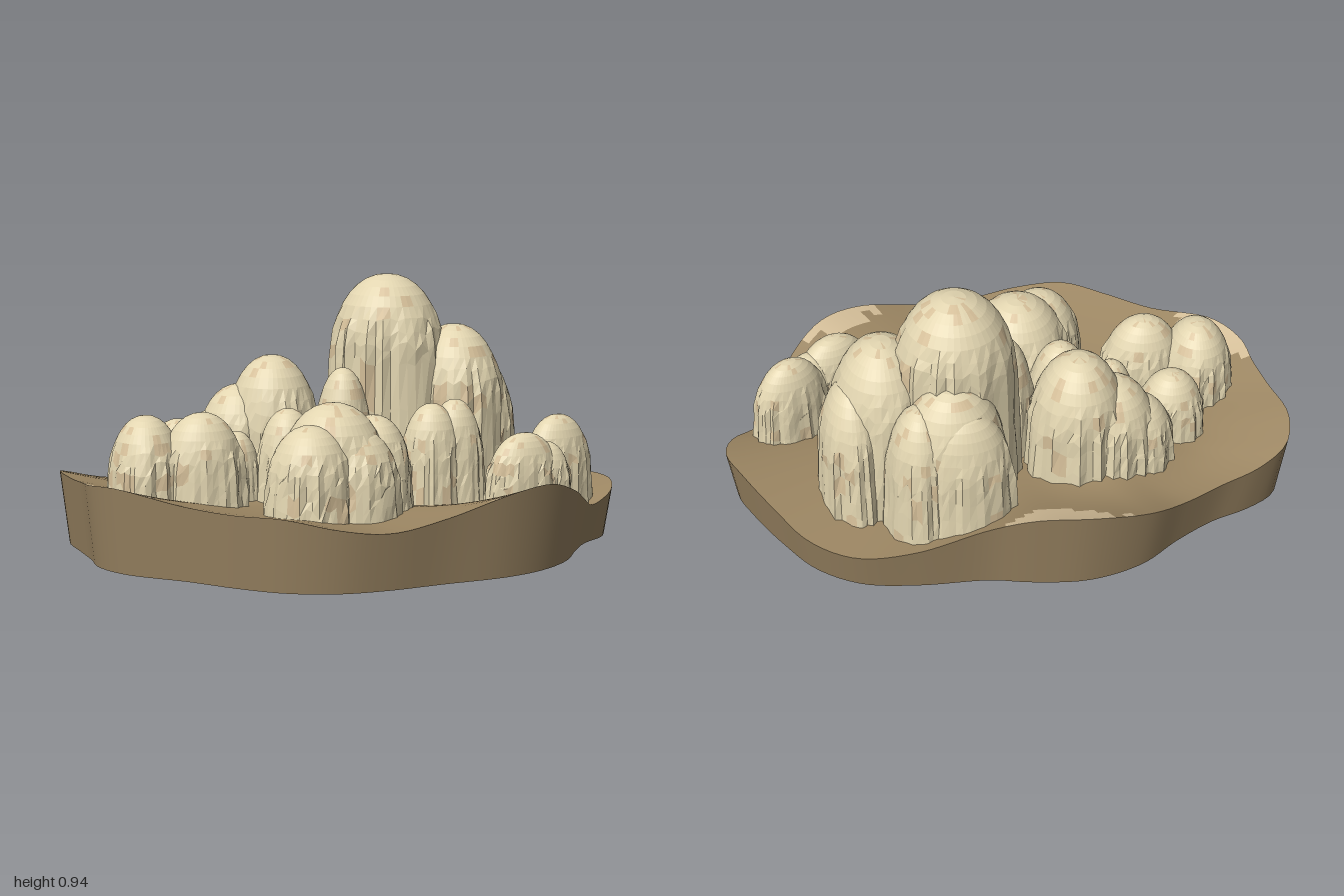
import * as THREE from 'three';

const SOIL = 0x9e8864, WALL = 0x95805f, STONE = 0xe2d5b0, TAN = 0xd6c09a;

// repeatable noise in -1..1
const hash = (a, b = 0, c = 0) => {
  const s = Math.sin(a * 127.1 + b * 311.7 + c * 74.7) * 43758.5453;
  return 2 * (s - Math.floor(s)) - 1;
};

// joins closed loops of points; keep(i, j, y) picks the quads used
function skin(loops, keep = () => true) {
  const n = loops[0].length, index = [];
  for (let i = 0; i < loops.length - 1; i++) {
    for (let j = 0; j < n; j++) {
      const k = (j + 1) % n;
      if (!keep(i, j, (loops[i][j].y + loops[i + 1][k].y) / 2)) continue;
      const a = i * n + j, b = i * n + k, c = b + n, d = a + n;
      index.push(a, b, c, a, c, d);
    }
  }
  const geo = new THREE.BufferGeometry().setFromPoints(loops.flat());
  geo.setIndex(index);
  geo.computeVertexNormals();
  return geo;
}

function mesh(name, geo, color, flatShading = false) {
  const m = new THREE.Mesh(geo, new THREE.MeshStandardMaterial({ color, flatShading }));
  m.name = name;
  return m;
}

// rim of the ground: x, height, z
const RIM = [
  [-0.2, 0.3, -0.73], [0, 0.3, -0.71], [0.15, 0.25, -0.675], [0.4, 0.17, -0.66],
  [0.6, 0.14, -0.62], [0.75, 0.15, -0.52], [0.85, 0.18, -0.38], [0.95, 0.2, -0.2],
  [1, 0.195, -0.07], [0.97, 0.17, 0.04], [0.87, 0.14, 0.14], [0.8, 0.19, 0.25],
  [0.72, 0.25, 0.4], [0.6, 0.3, 0.52], [0.45, 0.29, 0.6], [0.2, 0.225, 0.66],
  [0, 0.195, 0.71], [-0.17, 0.215, 0.725], [-0.35, 0.25, 0.68], [-0.5, 0.25, 0.58],
  [-0.65, 0.26, 0.45], [-0.85, 0.297, 0.3], [-0.93, 0.288, 0.17], [-0.945, 0.275, 0.05],
  [-0.97, 0.265, -0.08], [-1, 0.262, -0.25], [-0.96, 0.235, -0.38], [-0.85, 0.2, -0.45],
  [-0.7, 0.18, -0.5], [-0.55, 0.19, -0.58], [-0.4, 0.25, -0.68],
];

function ground() {
  const g = new THREE.Group();
  g.name = 'ground';
  const curve = new THREE.CatmullRomCurve3(RIM.map(p => new THREE.Vector3(...p)), true);
  const rim = curve.getSpacedPoints(144).slice(0, 144);

  // hollow top with a rise behind, split into soil and pale high patches
  const loops = [];
  for (let i = 0; i <= 28; i++) {
    const s = i / 28;
    loops.push(rim.map(p => {
      const x = p.x * s, z = p.z * s;
      const rise = 0.17 * Math.exp(-((x + 0.38) ** 2 + (z + 0.33) ** 2) / 0.05);
      const y = THREE.MathUtils.lerp(0.15 + rise, p.y, s * s);
      return new THREE.Vector3(x, y, z);
    }));
  }
  const pale = (i, j, y) => i > 20 && y > 0.272 + 0.008 * hash(i, j);
  g.add(mesh('soil', skin(loops, (i, j, y) => !pale(i, j, y)), SOIL));
  g.add(mesh('palePatches', skin(loops, pale), TAN));

  // side wall, tapering slightly downwards
  const foot = rim.map(p => new THREE.Vector3(p.x * 0.97, 0, p.z * 0.97));
  g.add(mesh('sideWall', skin([rim, foot]), WALL));
  const middle = rim.map(() => new THREE.Vector3(0, 0, 0));
  g.add(mesh('underside', skin([foot, middle]), SOIL));
  return g;
}

// smooth dome breaking into a pleated, ragged skirt
function rock(name, [x, z, rx, rz, top, turn = 0], seed) {
  const N = 44, DOME = 9, SKIRT = 3, base = 0.11;
  const shoulder = top - Math.min(0.3, (top - base) * 0.6);
  const loops = [];
  for (let i = 0; i <= DOME + SKIRT; i++) {
    const t = Math.min(i / DOME, 1) * Math.PI / 2;
    const d = Math.max(0, (i - DOME) / SKIRT);
    const ragged = Math.max(0, Math.sin(t) - 0.8) * 5;
    const loop = [];
    for (let j = 0; j < N; j++) {
      const a = j / N * Math.PI * 2;
      const pleat = ragged * (0.055 * hash(j, seed) + 0.02 * hash(i, j, seed));
      const r = 0.94 * Math.sin(t) ** 0.92 + pleat + 0.08 * d;
      const y = d > 0
        ? THREE.MathUtils.lerp(shoulder, base, d) + 0.03 * hash(j, i, seed) * (1 - d)
        : shoulder + (top - shoulder) * Math.cos(t) + 0.022 * ragged * hash(j, i, seed);
      const u = Math.cos(a) * r * rx, v = Math.sin(a) * r * rz;
      loop.push(new THREE.Vector3(
        x + u * Math.cos(turn) - v * Math.sin(turn), y,
        z + u * Math.sin(turn) + v * Math.cos(turn)));
    }
    loops.push(loop);
  }
  const tan = (i, j) => hash(i, j >> 1, seed + 5) > 0.8;
  const g = new THREE.Group();
  g.name = name;
  g.add(mesh('stone', skin(loops, (i, j) => !tan(i, j)), STONE, true));
  g.add(mesh('tanPatches', skin(loops, tan), TAN, true));
  return g;
}

// x, z, radius x, radius z, top height, turn
const ROCKS = {
  tallRock: [[0.205, -0.28, 0.22, 0.215, 0.945]],
  sideRock: [[0.45, -0.24, 0.19, 0.215, 0.76], [0.56, -0.28, 0.13, 0.19, 0.63]],
  rearRock: [[0.24, -0.45, 0.2, 0.17, 0.7], [0.21, -0.515, 0.18, 0.125, 0.64],
    [0.35, -0.47, 0.13, 0.15, 0.64]],
  backRock: [[-0.22, -0.3, 0.18, 0.19, 0.655], [-0.34, -0.31, 0.17, 0.17, 0.55],
    [-0.43, -0.31, 0.14, 0.14, 0.46]],
  middleRock: [[0.01, -0.13, 0.11, 0.12, 0.625], [-0.21, -0.02, 0.12, 0.12, 0.5],
    [-0.39, -0.05, 0.09, 0.09, 0.42]],
  frontRock: [[-0.09, 0.2, 0.2, 0.2, 0.55], [-0.19, 0.3, 0.16, 0.165, 0.49],
    [-0.03, 0.25, 0.17, 0.16, 0.47], [0.07, 0.12, 0.14, 0.16, 0.49]],
  innerRock: [[0.3, 0.03, 0.12, 0.11, 0.51], [0.39, 0.01, 0.11, 0.1, 0.52]],
  leftRock: [[-0.72, 0.03, 0.14, 0.16, 0.5], [-0.53, 0.07, 0.16, 0.13, 0.51],
    [-0.58, -0.18, 0.13, 0.12, 0.45]],
  edgeRock: [[0.58, 0.24, 0.16, 0.095, 0.43, -0.4], [0.75, 0.08, 0.15, 0.095, 0.465, -0.45],
    [0.67, 0.2, 0.1, 0.09, 0.39]],
};

export function createModel() {
  const model = new THREE.Group();
  model.name = 'rockyIsland';
  model.add(ground());
  let seed = 1;
  for (const [name, parts] of Object.entries(ROCKS)) {
    parts.forEach((p, k) => model.add(rock(name + (k + 1), p, seed++)));
  }
  return model;
}
